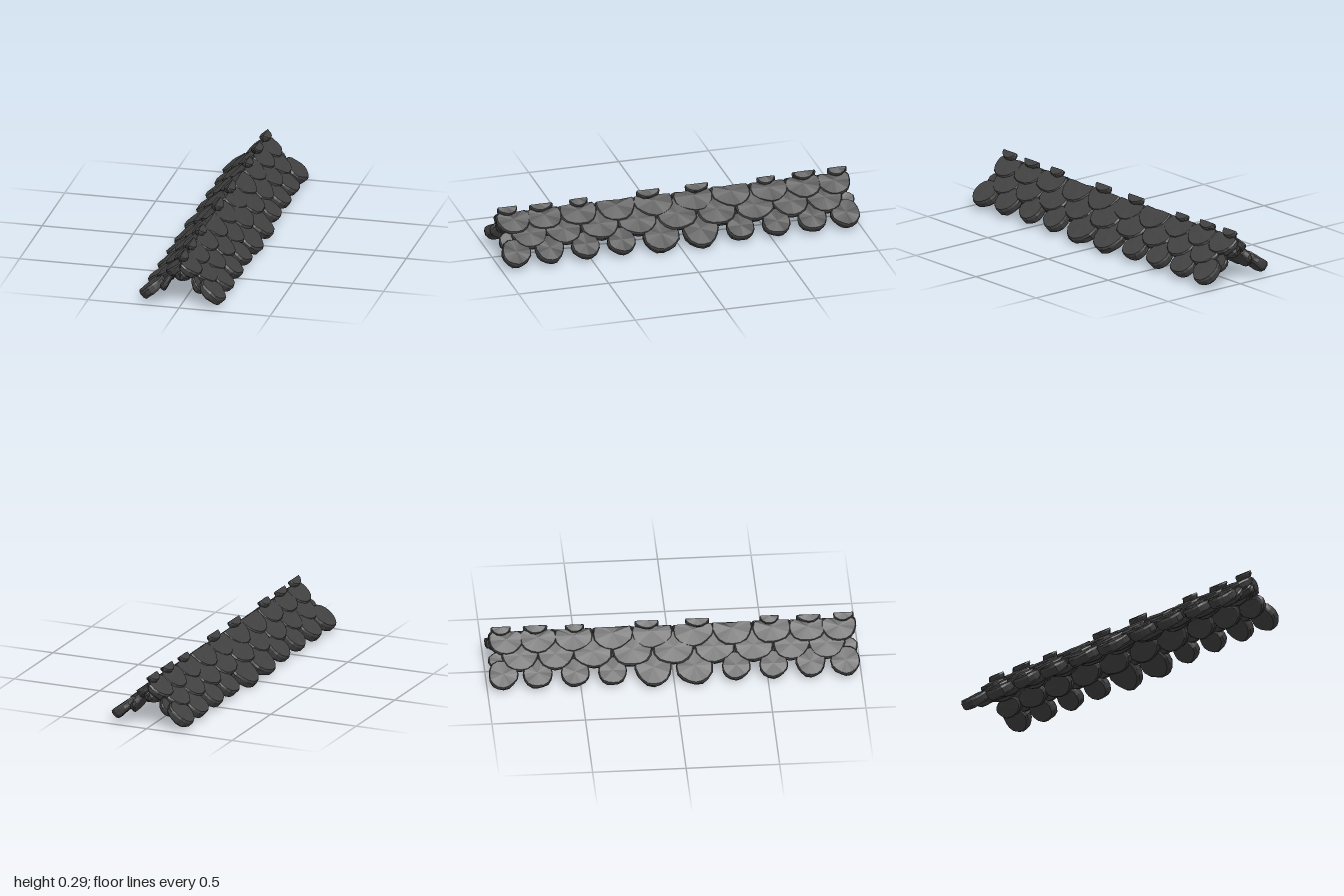
import * as THREE from 'three';

// Slope frame: "s" runs down the slope, "h" is height out of the slope
const DX = 0.76, DY = 0.65;

// small seeded generator
let seed = 7;
const rand = () => {
  seed = (seed * 16807) % 2147483647;
  return seed / 2147483647;
};

// One worn round slab with chipped edges, laid on the slope and cut at the ridge line
function slabGeometry(t, side) {
  const half = t.thick / 2;
  const profile = [[0, -1], [0.86, -1], [0.97, -0.55], [1, 0.55], [0.93, 1], [0, 1.05]]
    .map(([r, y]) => new THREE.Vector2(r, y));
  const geo = new THREE.LatheGeometry(profile, 16);
  const pos = geo.attributes.position;
  const p1 = t.phase, p2 = t.phase * 2.3;
  for (let i = 0; i < pos.count; i++) {
    const lx = pos.getX(i), ly = pos.getY(i), lz = pos.getZ(i);
    const a = Math.atan2(lz, lx), r = Math.hypot(lx, lz);
    const wobble = 1 + 0.03 * Math.sin(3 * a + p1) + 0.025 * Math.sin(5 * a + p2 + ly);
    // slabs are thicker at the lower lip
    const thick = half * (1 + 0.15 * lx + 0.08 * r * Math.sin(4 * a + p2));
    let s = t.s + lx * t.rs * wobble;
    const h = t.h + ly * thick - (s - t.s) * t.tilt;
    const z = t.z + lz * t.rz * wobble;
    s = Math.max(s, -h * DY / DX);
    const x = s * DX + h * DY;
    pos.setXYZ(i, side * x, -s * DY + h * DX, THREE.MathUtils.clamp(z, -1, 1));
  }
  if (side < 0) geo.index.array.reverse();
  const flat = geo.toNonIndexed();
  flat.computeVertexNormals();
  return flat;
}

// Mirror a list of [z, radius] pairs to both ends
const bothEnds = (list) => list.flatMap(([z, r]) => (z === 0 ? [[z, r]] : [[z, r], [-z, r]]));

const ROWS = [
  // lip: lowest s, rs: slope radius as a factor of the z radius
  { name: 'eaveSlab', lip: 0.145, h: 0.168, thick: 0.05, tilt: 0, rs: 1,
    tiles: [[0.11, 0.1, 0.16], [0.33, 0.077], [0.53, 0.077], [0.73, 0.08], [0.915, 0.08]] },
  { name: 'middleSlab', lip: 0.05, h: 0.174, thick: 0.042, tilt: 0, rs: 0.85,
    tiles: [[0, 0.11], [0.22, 0.108], [0.43, 0.105], [0.63, 0.1], [0.82, 0.1]] },
  { name: 'middleUnderSlab', lip: 0.037, h: 0.15, thick: 0.035, tilt: 0.35, rs: 0.6,
    tiles: [[0.11, 0.11], [0.32, 0.11], [0.53, 0.1], [0.72, 0.1], [0.9, 0.09]] },
  { name: 'upperSlab', lip: -0.042, h: 0.176, thick: 0.044, tilt: 0, rs: 0.85,
    tiles: [[0.11, 0.112], [0.32, 0.11], [0.53, 0.105], [0.72, 0.1], [0.89, 0.095]] },
  { name: 'upperUnderSlab', lip: -0.06, h: 0.14, thick: 0.042, tilt: 0.2, rs: 0.55,
    tiles: [[0, 0.11], [0.21, 0.11], [0.42, 0.11], [0.63, 0.11], [0.87, 0.11]] },
  { name: 'ridgeSlab', lip: -0.146, h: 0.205, thick: 0.03, tilt: 0, rs: 0.8,
    tiles: [[0.135, 0.065], [0.52, 0.052], [0.73, 0.066], [0.915, 0.055]] },
];

export function createModel() {
  const model = new THREE.Group();
  model.name = 'stoneRidge';
  const stone = new THREE.MeshStandardMaterial({ color: 0x424242 });
  stone.name = 'dark stone';

  for (const row of ROWS) {
    const group = new THREE.Group();
    group.name = row.name + 'Row';
    const special = new Map(row.tiles.filter((t) => t[2]).map((t) => [t[0], t[2]]));
    for (const [z, r] of bothEnds(row.tiles)) {
      const rs = r * row.rs;
      const lip = special.get(Math.abs(z)) ?? row.lip;
      const tile = {
        z, rz: r, rs, s: lip - rs,
        h: row.h + (rand() - 0.5) * 0.006,
        thick: row.thick, tilt: row.tilt, phase: rand() * 6.28,
      };
      // tilted slabs keep their lip at the same depth
      for (const side of [1, -1]) {
        const mesh = new THREE.Mesh(slabGeometry(tile, side), stone);
        mesh.name = (side > 0 ? 'left ' : 'right ') + row.name;
        group.add(mesh);
      }
    }
    model.add(group);
  }

  // stand on the ground
  model.position.y = -new THREE.Box3().setFromObject(model).min.y;
  return model;
}
